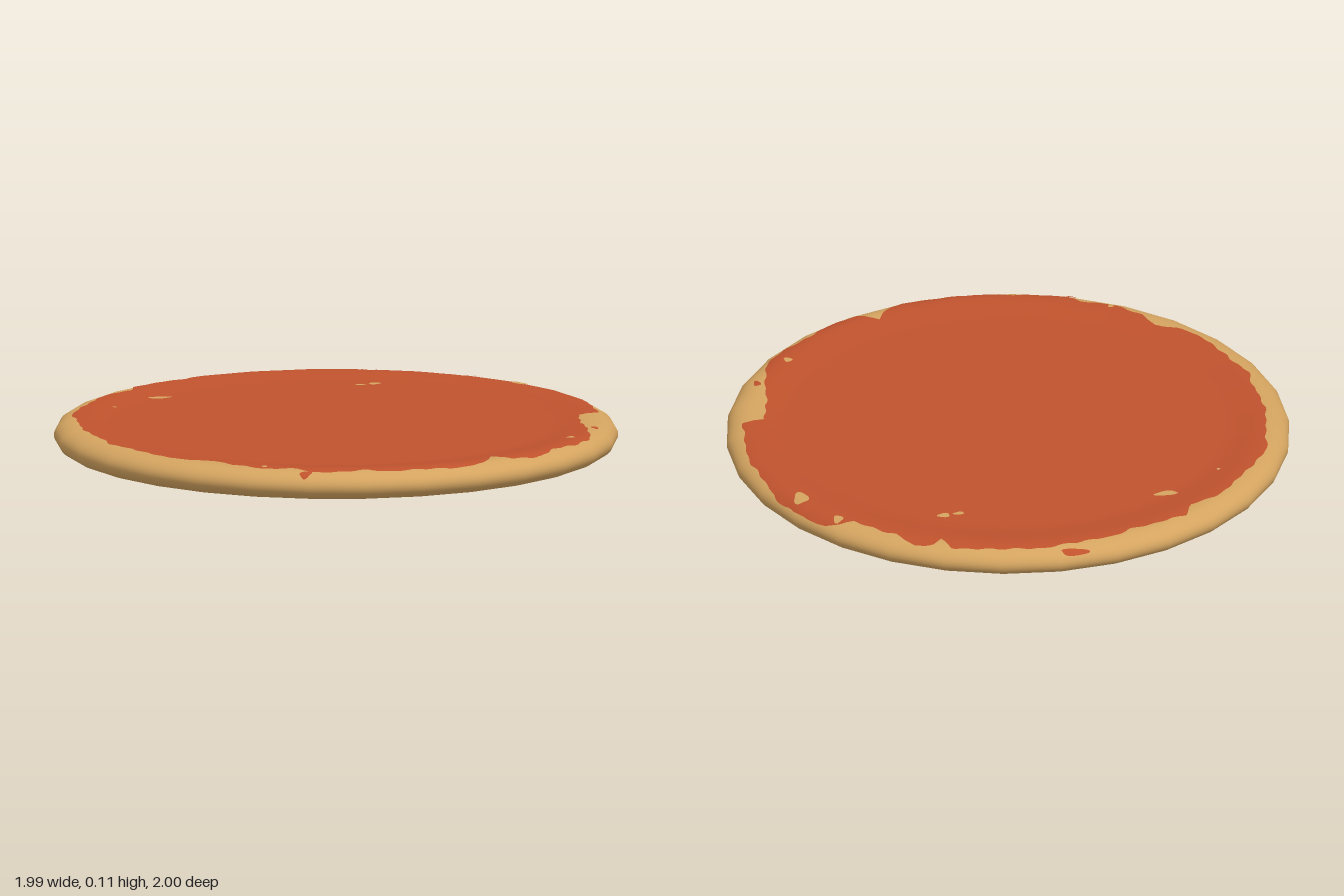
import * as THREE from 'three';

const SIDES = 30, RADIUS = 1, LIP = 0.08, HALF = 0.0525, DISH = 0.092;

// Height of the upper surface: shallow dish, raised lip, rounded edge
function topHeight(r) {
  const crest = RADIUS - LIP;
  if (r <= crest) return DISH + (2 * HALF - DISH) * THREE.MathUtils.smoothstep(r, 0.77, crest);
  return HALF + HALF * Math.sqrt(Math.max(0, 1 - ((r - crest) / LIP) ** 2));
}

// Drop a point (x, z) on the faceted upper surface, lifted along its normal
function onTop(x, z, lift) {
  const step = (2 * Math.PI) / SIDES;
  const a = Math.atan2(x, z), d = a - (Math.floor(a / step) + 0.5) * step;
  const r = Math.min(0.99, Math.hypot(x, z) * Math.cos(d) / Math.cos(step / 2));
  const slope = (topHeight(r + 0.002) - topHeight(r - 0.002)) / 0.004;
  const n = Math.hypot(1, slope);
  const out = -slope / n * lift;
  return [x + Math.sin(a) * out, topHeight(r) + lift / n, z + Math.cos(a) * out];
}

// Thin sheet over the surface: rings scaled from an outline around a centre
function sheet(cx, cz, outline, segments, rings, lift) {
  const pos = [...onTop(cx, cz, lift)], index = [];
  rings.forEach((f, k) => {
    for (let i = 0; i < segments; i++) {
      const [dx, dz] = outline((i / segments) * Math.PI * 2);
      pos.push(...onTop(cx + dx * f, cz + dz * f, lift));
      const j = (i + 1) % segments, b = 1 + k * segments, p = b - segments;
      if (k === 0) index.push(0, b + i, b + j);
      else index.push(p + i, b + i, b + j, p + i, b + j, p + j);
    }
  });
  const g = new THREE.BufferGeometry();
  g.setAttribute('position', new THREE.Float32BufferAttribute(pos, 3));
  g.setIndex(index);
  g.computeVertexNormals();
  return g;
}

// Ragged sauce edge: [degrees from the front towards +x, radius]
const EDGE = [
  [0, 0.95], [9, 0.96], [15, 0.95], [20, 0.885], [23, 0.95], [31, 0.965], [36, 0.94], [45, 0.955],
  [51, 0.96], [57, 0.926], [63, 0.894], [70, 0.864], [78, 0.865], [80, 0.94], [87, 0.94], [95, 0.958],
  [102, 0.96], [108, 0.968], [112, 0.985], [122, 0.988], [128, 0.988], [131, 0.96], [133, 0.93],
  [144, 0.938], [149, 0.969], [153, 0.953], [154, 0.92], [157, 0.959], [168, 0.951], [177, 0.951],
  [186, 0.935], [192, 0.94], [197, 0.92], [205, 0.93], [211, 0.94], [215, 0.904], [224, 0.933],
  [229, 0.922], [237, 0.926], [246, 0.94], [254, 0.915], [264, 0.915], [276, 0.905], [282, 0.925],
  [289, 0.91], [297, 0.92], [305, 0.926], [313, 0.885], [318, 0.92], [326, 0.943], [333, 0.925],
  [337, 0.96], [348, 0.94], [354, 0.955], [360, 0.95],
];
function edgeRadius(a) {
  const deg = THREE.MathUtils.radToDeg(a) % 360;
  const i = Math.max(1, EDGE.findIndex((e) => e[0] >= deg));
  const [a0, r0] = EDGE[i - 1], [a1, r1] = EDGE[i];
  const ripple = 0.003 * Math.sin(a * 67) + 0.002 * Math.sin(a * 41 + 1);
  return Math.min(0.988, r0 + (r1 - r0) * (deg - a0) / (a1 - a0) + ripple);
}

export function createModel() {
  const group = new THREE.Group();
  const dough = new THREE.MeshStandardMaterial({ color: 0xd4a460 });
  dough.name = 'baked dough';
  const sauce = new THREE.MeshStandardMaterial({ color: 0xbf522d });
  sauce.name = 'tomato sauce';

  const add = (name, geometry, material) => {
    const mesh = new THREE.Mesh(geometry, material);
    mesh.name = name;
    group.add(mesh);
  };

  // Dough base, profile from the bottom centre round the edge to the top centre
  const profile = [new THREE.Vector2(0, 0), new THREE.Vector2(0.6, 0), new THREE.Vector2(0.88, 0)];
  for (let i = 0; i <= 24; i++) {
    const t = -Math.PI / 2 + (i / 24) * Math.PI;
    profile.push(new THREE.Vector2(RADIUS - LIP + LIP * Math.cos(t), HALF + HALF * Math.sin(t)));
  }
  for (let i = 1; i <= 10; i++) {
    const r = 0.92 - i * 0.016;
    profile.push(new THREE.Vector2(r, topHeight(r)));
  }
  profile.push(new THREE.Vector2(0.4, DISH), new THREE.Vector2(0, DISH));
  add('doughBase', new THREE.LatheGeometry(profile, SIDES), dough);

  // Sauce layer with a ragged outline
  const rings = [0.4, 0.76];
  for (let i = 1; i <= 20; i++) rings.push(0.76 + 0.012 * i);
  const outline = (a) => [Math.sin(a) * edgeRadius(a), Math.cos(a) * edgeRadius(a)];
  add('sauceLayer', sheet(0, 0, outline, 360, rings, 0.003), sauce);

  // Small bare spots in the sauce and stray drops on the crust: x, z, half sizes
  const blob = (name, [x, z, w, d], material, lift) => {
    const shape = (a) => {
      const k = 1 + 0.15 * Math.sin(3 * a + x * 9);
      return [Math.sin(a) * w * k, Math.cos(a) * d * k];
    };
    add(name, sheet(x, z, shape, 18, [0.35, 0.7, 1], lift), material);
  };
  const bare = [
    [-0.45, -0.625, 0.042, 0.017], [0.355, -0.635, 0.022, 0.016], [0.3, -0.63, 0.02, 0.01],
    [0.83, -0.43, 0.025, 0.036], [0.73, -0.605, 0.016, 0.02], [0.68, 0.59, 0.015, 0.015],
    [-0.665, -0.49, 0.007, 0.007], [-0.52, 0.765, 0.01, 0.01],
  ];
  bare.forEach((s) => blob('bareSpot', s, dough, 0.006));
  const drops = [[0.82, 0.44, 0.012, 0.02], [-0.05, -0.975, 0.05, 0.011], [-0.405, 0.88, 0.022, 0.016]];
  drops.forEach((s) => blob('sauceDrop', s, sauce, 0.004));

  return group;
}
